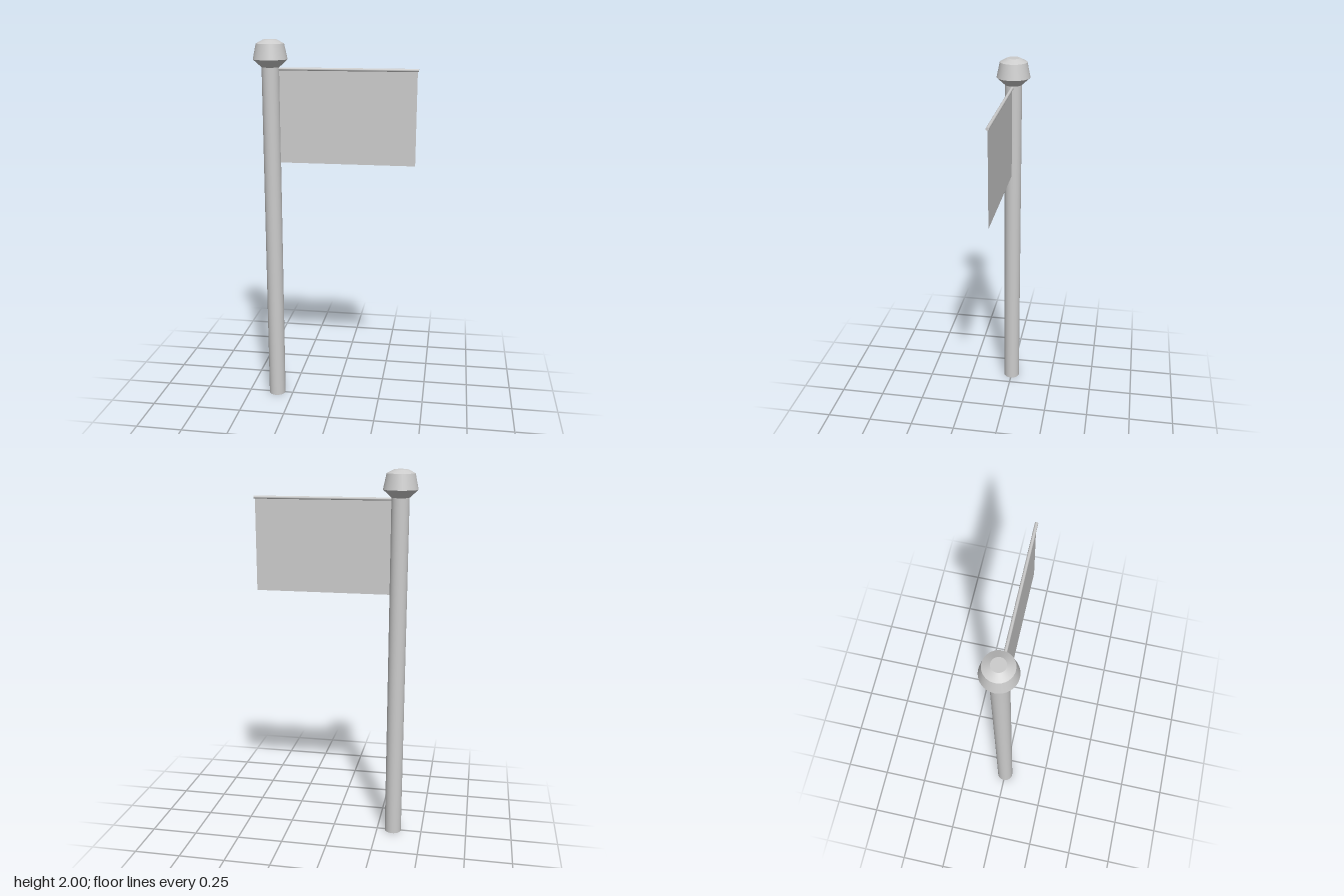
import * as THREE from 'three';

const SEGMENTS = 32;
const POLE_X = -0.34;

export function createModel() {
  const model = new THREE.Group();
  const material = new THREE.MeshStandardMaterial({ color: 0xcccccc });
  const clothMaterial = new THREE.MeshStandardMaterial({ color: 0xcccccc, side: THREE.DoubleSide });

  const add = (parent, name, geometry, x, y, mat = material) => {
    const mesh = new THREE.Mesh(geometry, mat);
    mesh.name = name;
    mesh.position.set(x, y, 0);
    parent.add(mesh);
    return mesh;
  };

  // Upright pole
  add(model, 'pole', new THREE.CylinderGeometry(0.046, 0.046, 1.865, SEGMENTS), POLE_X, 0.9325);

  // Finial: stacked bands with sharp edges between them, each [radius, height]
  const finial = new THREE.Group();
  finial.name = 'finial';
  finial.position.x = POLE_X;
  model.add(finial);
  const profile = [[0, 1.86], [0.046, 1.86], [0.09, 1.9], [0.073, 1.98], [0.035, 2], [0, 2]]
    .map(([r, y]) => new THREE.Vector2(r, y));
  const bands = ['finialBase', 'finialFlare', 'finialBody', 'finialShoulder', 'finialTop'];
  bands.forEach((name, i) => {
    add(finial, name, new THREE.LatheGeometry(profile.slice(i, i + 2), SEGMENTS), 0, 0);
  });

  // Thin rod carrying the banner, running out from the pole
  const rod = add(model, 'bannerRod', new THREE.CylinderGeometry(0.008, 0.008, 0.76, 12), 0.048, 1.852);
  rod.rotation.z = Math.PI / 2;

  // Flat banner hanging from the rod
  add(model, 'banner', new THREE.PlaneGeometry(0.73, 0.495), 0.057, 1.6075, clothMaterial);

  return model;
}
